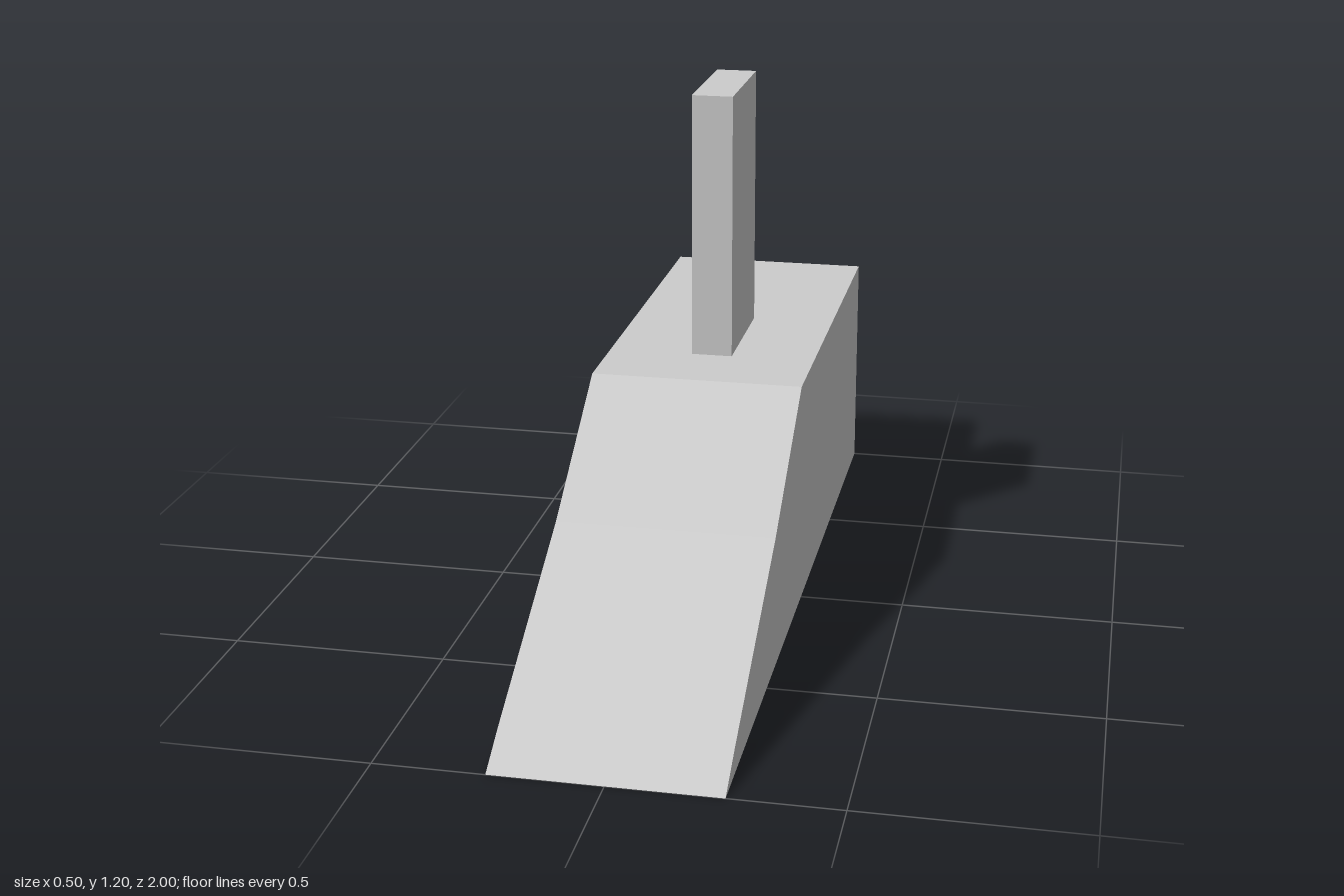
import * as THREE from 'three';

export function createModel() {
  const model = new THREE.Group();
  const grey = new THREE.MeshStandardMaterial({ color: 0xcccccc });
  grey.name = 'light grey';

  // Wedge-fronted base: side profile as (z, y), extruded across the width
  const width = 0.505;
  const profile = [[1, 0], [0.9, 0.058], [0.4, 0.32], [0.04, 0.555], [-1, 0.555], [-1, 0]];
  const shape = new THREE.Shape(profile.map(([z, y]) => new THREE.Vector2(z, y)));
  const baseGeometry = new THREE.ExtrudeGeometry(shape, { depth: width, bevelEnabled: false });
  baseGeometry.translate(0, 0, -width / 2).rotateY(-Math.PI / 2);
  const base = new THREE.Mesh(baseGeometry, grey);
  base.name = 'wedgeBase';
  model.add(base);

  // Upright slab, slightly off centre, standing just clear of the deck
  const slab = new THREE.Mesh(new THREE.BoxGeometry(0.098, 0.64, 0.317), grey);
  slab.name = 'uprightSlab';
  slab.position.set(0.005, 0.882, -0.29);
  model.add(slab);

  return model;
}
